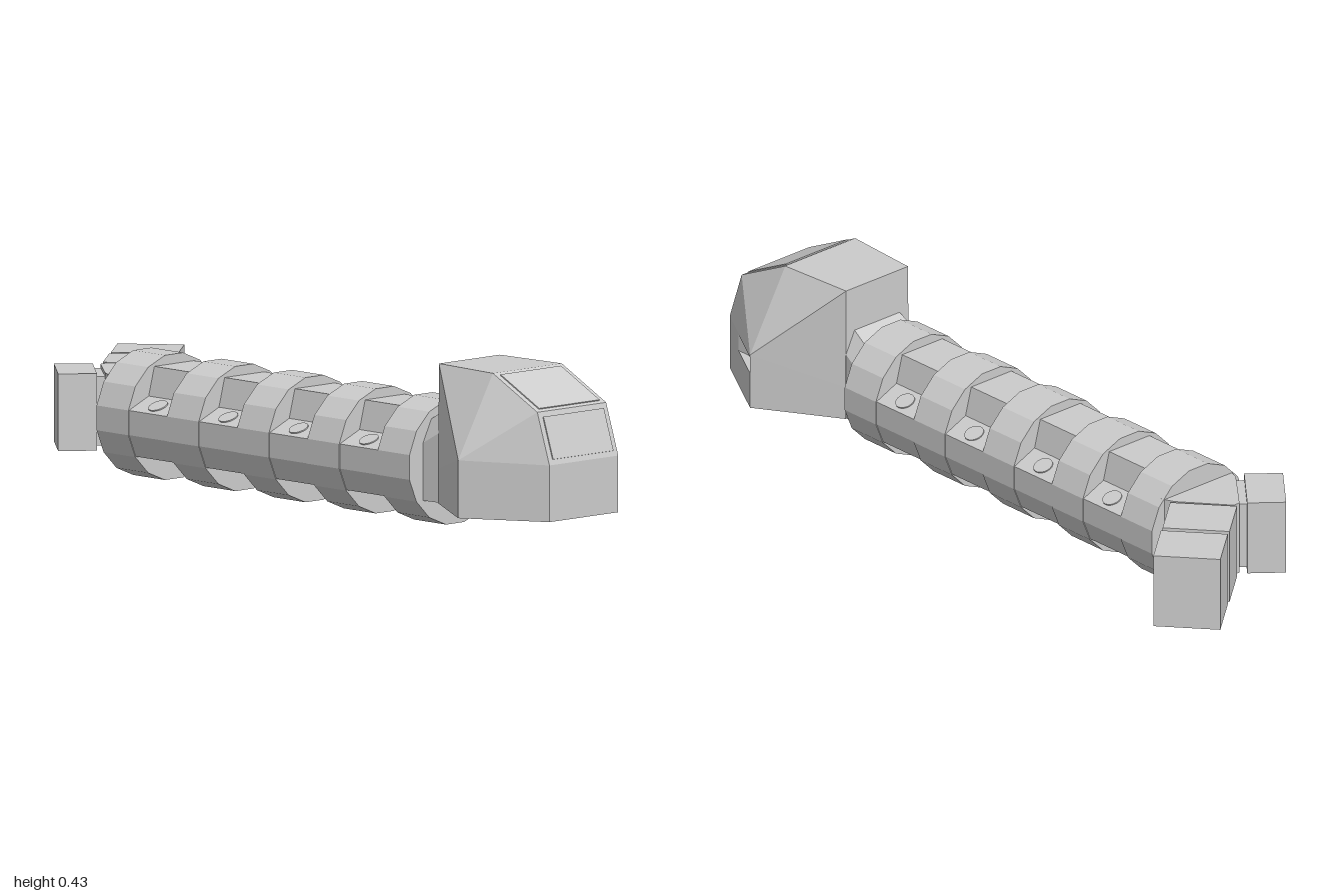
import * as THREE from 'three';

const mat = new THREE.MeshStandardMaterial({ color: 0xcccccc, flatShading: true });
const AXIS_Y = 0.163;

function add(parent, name, geo, x = 0, y = 0, z = 0) {
  const mesh = new THREE.Mesh(geo, mat);
  mesh.name = name;
  mesh.position.set(x, y, z);
  parent.add(mesh);
  return mesh;
}

// Flat faceted solid from a list of convex polygons
function facets(polys) {
  const pos = [];
  for (const p of polys)
    for (let i = 1; i < p.length - 1; i++) pos.push(...p[0], ...p[i], ...p[i + 1]);
  const geo = new THREE.BufferGeometry();
  geo.setAttribute('position', new THREE.Float32BufferAttribute(pos, 3));
  geo.computeVertexNormals();
  return geo;
}

const flip = ([x, y, z]) => [-x, y, z];
const mirrored = poly => poly.map(flip).reverse();
const extrude = (shape, depth) => new THREE.ExtrudeGeometry(shape, { depth, bevelEnabled: false });
const outline = pts => new THREE.Shape(pts.map(p => new THREE.Vector2(...p)));

// Regular 16-sided outline with a flat at the bottom
function ringPoints(radius) {
  return Array.from({ length: 16 }, (_, i) => {
    const a = (i + 0.5) * Math.PI / 8;
    return new THREE.Vector2(radius * Math.cos(a), radius * Math.sin(a));
  });
}

function buildCabin() {
  const cabin = new THREE.Group();
  cabin.name = 'cabin';
  const A0 = [0.122, 0.07, 1], A1 = [0.122, 0.217, 1], A2 = [0.122, 0.35, 0.955];
  const A3 = [0.122, 0.433, 0.79], A4 = [0.108, 0.433, 0.575];
  const W0 = [0.245, 0.07, 0.79], W1 = [0.245, 0.22, 0.79];
  const B0 = [0.11, 0.07, 0.575], B1 = [0.11, 0.16, 0.575];
  const side = [
    [A1, W1, A2], [A2, W1, A3],
    [W0, B0, B1, W1], [W1, B1, A4], [W1, A4, A3],
  ];
  const span = (a, b) => [flip(a), a, b, flip(b)];
  const centre = [
    span(A0, A1), span(A1, A2), span(A2, A3), span(A3, A4),
    [B0, flip(B0), flip(B1), flip(A4), A4, B1],
    [flip(A0), flip(W0), flip(B0), B0, W0, A0],
  ];
  // Wedge-shaped slot in the left front panel
  const P0 = [0.175, 0.168, 0.9095], P1 = [0.175, 0.213, 0.9095];
  const Q0 = [0.245, 0.168, 0.79], Q1 = [0.245, 0.213, 0.79];
  const R0 = [0.175, 0.168, 0.79], R1 = [0.175, 0.213, 0.79];
  const slot = [
    [A0, W0, Q0, P0], [A0, P0, P1, A1], [A1, P1, Q1, W1],
    [P0, R0, R1, P1], [R0, Q0, Q1, R1], [P0, Q0, R0], [P1, R1, Q1],
  ];
  add(cabin, 'cabinHull', facets([
    ...side, ...side.map(mirrored), ...centre, ...slot, mirrored([A0, W0, W1, A1]),
  ]));

  // Thin window panels on the two sloping front faces
  for (const [name, lo, hi, from, to] of [
    ['lowerWindow', A1, A2, 0.1, 0.9], ['upperWindow', A2, A3, 0.06, 0.93],
  ]) {
    const dy = hi[1] - lo[1], dz = hi[2] - lo[2], mid = (from + to) / 2;
    const height = Math.hypot(dy, dz) * (to - from);
    const pane = add(cabin, name, new THREE.BoxGeometry(0.214, height, 0.006),
      0, lo[1] + dy * mid, lo[2] + dz * mid);
    pane.rotation.x = Math.atan2(dz, dy);
  }

  // Neck tapering from the cabin back to the first ring
  const section = (w, top, z) =>
    [[w, 0.072, z], [w, top - 0.06, z], [w - 0.03, top, z],
      [-w + 0.03, top, z], [-w, top - 0.06, z], [-w, 0.072, z]];
  const f = section(0.108, 0.315, 0.58), r = section(0.115, 0.275, 0.51);
  add(cabin, 'neck', facets(f.map((p, i) => {
    const j = (i + 1) % f.length;
    return [p, r[i], r[j], f[j]];
  })));
  return cabin;
}

function buildHull() {
  const hull = new THREE.Group();
  hull.name = 'hull';
  // Flat-bottomed core with a sloping ledge along each upper side
  const half = [[0.136, 0.073], [0.16, 0.131], [0.16, 0.195], [0.09, 0.225], [0.07, 0.3]];
  const core = outline([...half, ...half.map(([x, y]) => [-x, y]).reverse()]);
  add(hull, 'core', extrude(core, 1.158), 0, 0, -0.639);

  // Five hollow ribs
  const ring = new THREE.Shape(ringPoints(0.165));
  ring.holes.push(new THREE.Path(ringPoints(0.108).reverse()));
  const ringGeo = extrude(ring, 0.118);
  for (let i = 0; i < 5; i++) add(hull, 'rib', ringGeo, 0, AXIS_Y, 0.404 - i * 0.261);

  // Round hatches on the ledges between the ribs
  const hatchGeo = new THREE.CylinderGeometry(0.026, 0.026, 0.006, 20);
  for (let i = 0; i < 4; i++)
    for (const s of [-1, 1]) {
      const hatch = add(hull, 'hatch', hatchGeo, s * 0.125, 0.21, 0.333 - i * 0.261);
      hatch.rotation.z = -s * Math.atan2(0.03, 0.07);
    }
  return hull;
}

function buildTail() {
  const tail = new THREE.Group();
  tail.name = 'tail';
  // Wedge joint that splits into two arms
  const joint = outline([[-0.122, 0.63], [0.122, 0.63], [0.108, 0.665], [0.01, 0.785],
    [-0.01, 0.785], [-0.108, 0.665]]);
  add(tail, 'tailJoint', extrude(joint, 0.198).rotateX(-Math.PI / 2), 0, 0.073, 0);

  const block = (name, x, z, length, width, height, angle) => {
    const box = add(tail, name, new THREE.BoxGeometry(length, height, width), x, 0.172, z);
    box.rotation.y = THREE.MathUtils.degToRad(angle);
  };
  block('leftArmInner', 0.123, -0.779, 0.152, 0.173, 0.2, 40);
  block('leftArmOuter', 0.253, -0.885, 0.152, 0.173, 0.2, 40);
  block('leftArmLink', 0.188, -0.832, 0.05, 0.15, 0.18, 40);
  block('leftRootLink', 0.063, -0.728, 0.04, 0.14, 0.18, 40);
  block('rightArm', -0.117, -0.766, 0.1, 0.174, 0.2, 140);
  block('rightRootLink', -0.073, -0.73, 0.04, 0.14, 0.18, 140);
  return tail;
}

export function createModel() {
  const model = new THREE.Group();
  model.name = 'spaceVessel';
  model.add(buildCabin(), buildHull(), buildTail());
  for (const part of model.children) part.position.x = -0.066;
  return model;
}
